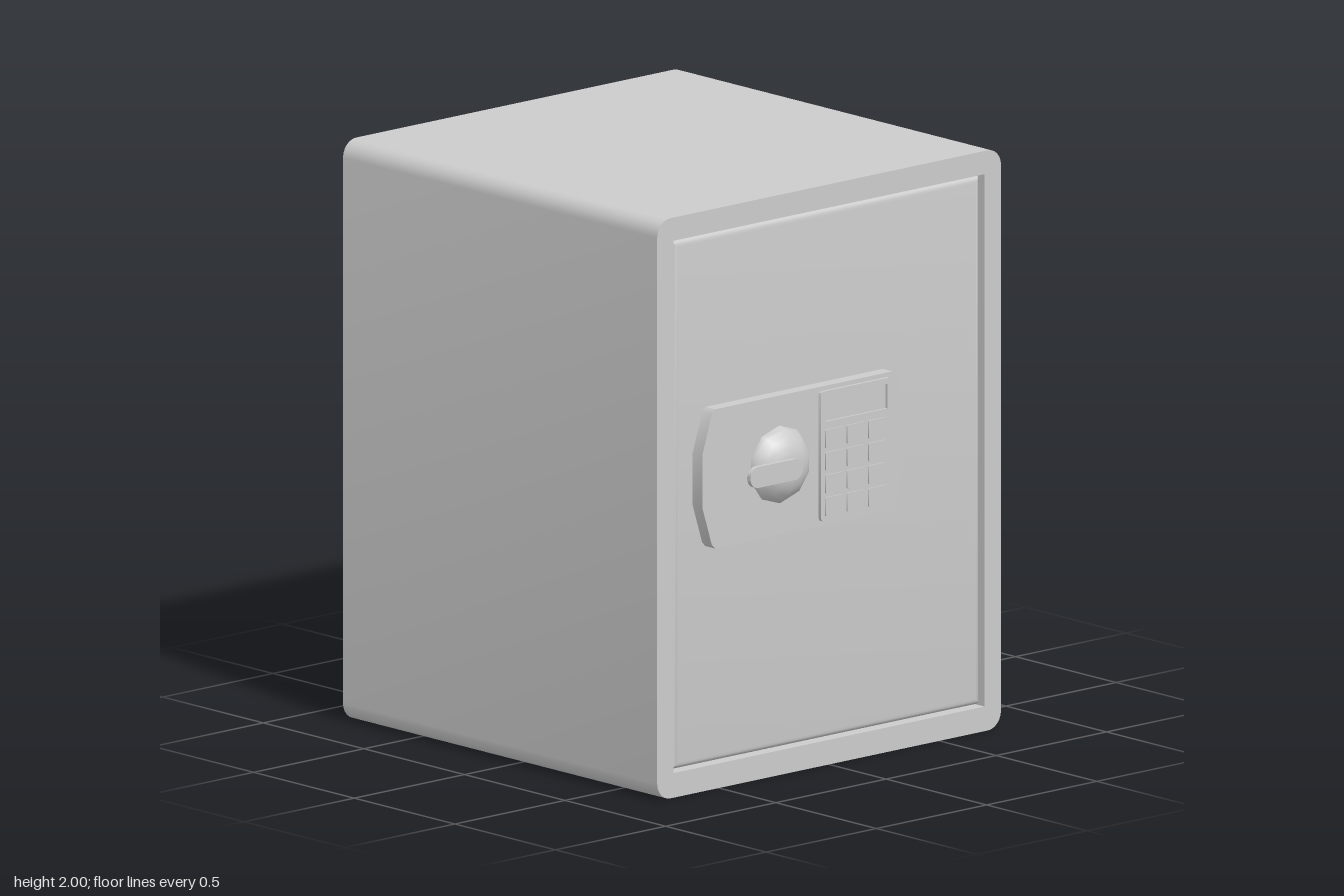
import * as THREE from 'three';
import { toCreasedNormals } from 'three/addons/utils/BufferGeometryUtils.js';

const material = new THREE.MeshStandardMaterial({ color: 0xcccccc });

// Rectangle with rounded corners, given by its limits
function roundedRect(x0, x1, y0, y1, r, Type = THREE.Shape) {
  const s = new Type();
  s.moveTo(x0 + r, y0);
  s.lineTo(x1 - r, y0);
  s.absarc(x1 - r, y0 + r, r, -Math.PI / 2, 0);
  s.lineTo(x1, y1 - r);
  s.absarc(x1 - r, y1 - r, r, 0, Math.PI / 2);
  s.lineTo(x0 + r, y1);
  s.absarc(x0 + r, y1 - r, r, Math.PI / 2, Math.PI);
  s.lineTo(x0, y0 + r);
  s.absarc(x0 + r, y0 + r, r, Math.PI, Math.PI * 1.5);
  return s;
}

function rect(x0, x1, y0, y1, Type = THREE.Shape) {
  return new Type([[x0, y0], [x1, y0], [x1, y1], [x0, y1]].map(p => new THREE.Vector2(...p)));
}

// Extrudes a shape between two z positions
function slab(shape, z0, z1, curveSegments = 4) {
  const g = new THREE.ExtrudeGeometry(shape, { depth: z1 - z0, bevelEnabled: false, curveSegments });
  g.translate(0, 0, z0);
  return toCreasedNormals(g, 0.65);
}

export function createModel() {
  const model = new THREE.Group();
  model.name = 'safe';
  const add = (name, geometry, parent = model) => {
    const mesh = new THREE.Mesh(geometry, material);
    mesh.name = name;
    parent.add(mesh);
    return mesh;
  };

  // Cabinet: one hollow shell plus a back plate
  const W = 0.78, BACK = -0.845, FRONT = 0.717;
  const shell = roundedRect(-W, W, 0, 2, 0.06);
  shell.holes.push(rect(-0.705, 0.705, 0.085, 1.92, THREE.Path));
  add('cabinet', slab(shell, BACK, FRONT, 3));
  add('backPlate', slab(rect(-0.705, 0.705, 0.085, 1.92), BACK, BACK + 0.05));

  // Door with softly rounded edges, set into the opening
  const b = 0.025;
  const doorGeo = new THREE.ExtrudeGeometry(rect(-0.7 + b, 0.7 - b, 0.09 + b, 1.915 - b), {
    depth: 0.05, bevelEnabled: true, bevelSize: b, bevelThickness: b, bevelSegments: 4,
  });
  doorGeo.translate(0, 0, 0.705 - 0.05 - b);
  add('door', toCreasedNormals(doorGeo, 0.65));

  // Lock panel with pointed ends
  const panel = new THREE.Shape([
    [-0.55, 0.84], [0.255, 0.84], [0.27, 0.855], [0.312, 0.99], [0.312, 1.17], [0.27, 1.305],
    [0.255, 1.32], [-0.55, 1.32], [-0.565, 1.305], [-0.608, 1.17], [-0.608, 0.99], [-0.565, 0.855],
  ].map(p => new THREE.Vector2(...p)));
  add('lockPanel', slab(panel, 0.69, 0.753));

  // Keypad plate with a sunken display and raised keys
  const keypad = new THREE.Group();
  keypad.name = 'keypad';
  model.add(keypad);
  const plate = roundedRect(-0.08, 0.24, 0.857, 1.305, 0.012);
  plate.holes.push(rect(-0.06, 0.22, 1.2, 1.285, THREE.Path));
  add('keypadPlate', slab(plate, 0.745, 0.765), keypad);
  add('display', slab(rect(-0.06, 0.22, 1.2, 1.285), 0.745, 0.757), keypad);
  for (let row = 0; row < 4; row++) {
    for (let col = 0; col < 3; col++) {
      const x = -0.063 + col * 0.098, y = 0.875 + row * 0.078;
      add('key', slab(roundedRect(x, x + 0.085, y, y + 0.064, 0.006), 0.76, 0.77, 2), keypad);
    }
  }

  // Turning knob: ten-sided dome, spindle and lever
  const knob = new THREE.Group();
  knob.name = 'knob';
  knob.position.set(-0.26, 1.083, 0);
  model.add(knob);
  const profile = [[0.135, 0.74], [0.133, 0.758], [0.122, 0.775], [0.103, 0.795], [0.078, 0.812],
    [0.045, 0.823], [0, 0.826]].map(p => new THREE.Vector2(...p));
  const dome = new THREE.LatheGeometry(profile, 10);
  dome.rotateX(Math.PI / 2);
  add('dome', dome, knob);
  const spindle = new THREE.CylinderGeometry(0.03, 0.03, 0.025, 10);
  spindle.rotateX(Math.PI / 2);
  add('spindle', spindle, knob).position.z = 0.822;
  add('lever', slab(roundedRect(-0.213, 0.025, -0.036, 0.036, 0.0355), 0.828, 0.845, 5), knob);

  return model;
}
